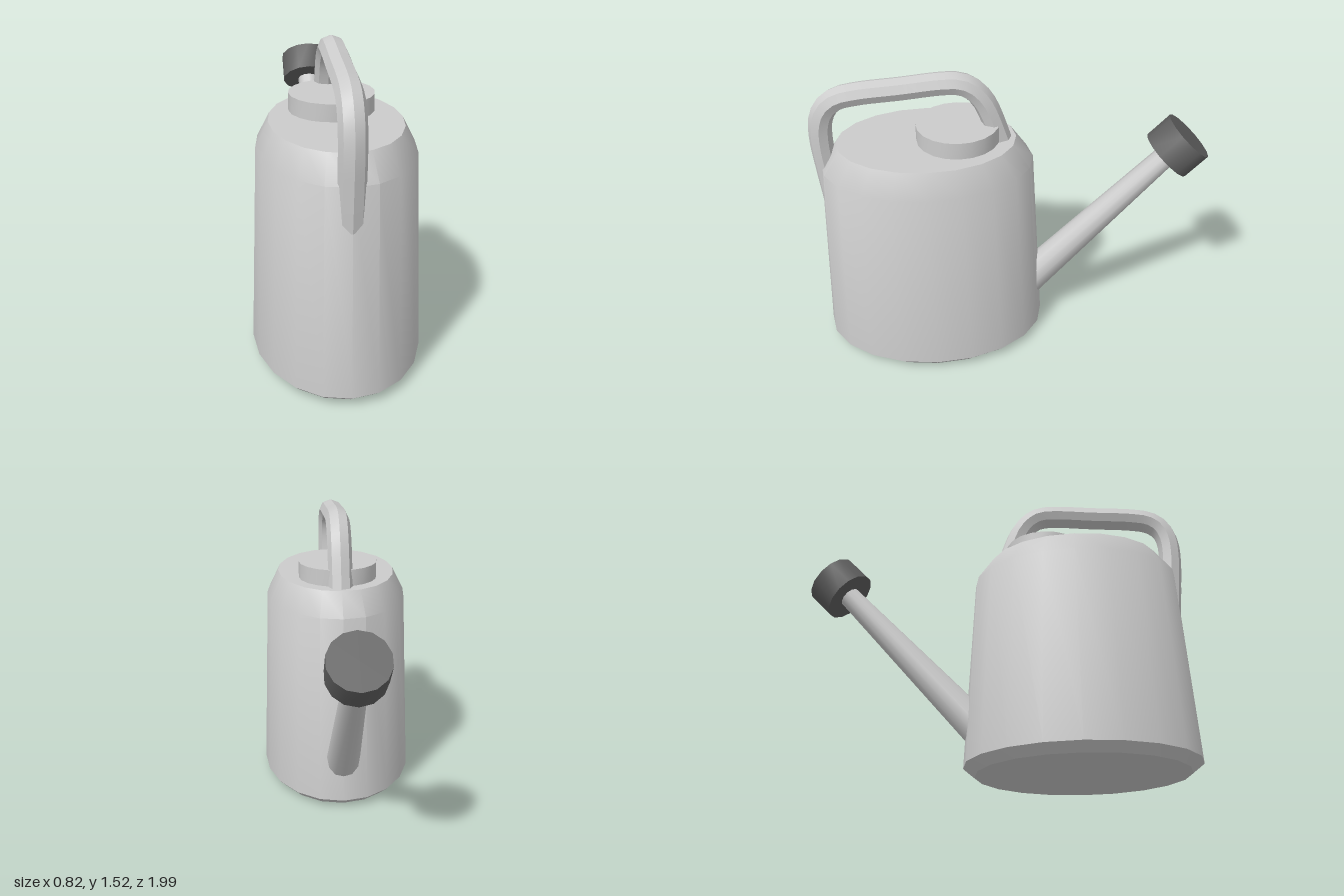
import * as THREE from 'three';
import { toCreasedNormals } from 'three/addons/utils/BufferGeometryUtils.js';

const grey = new THREE.MeshStandardMaterial({ color: 0xcccccc });
const dark = new THREE.MeshStandardMaterial({ color: 0x606060 });

function part(name, geometry, material = grey, crease = 0.65) {
  const mesh = new THREE.Mesh(toCreasedNormals(geometry, crease), material);
  mesh.name = name;
  return mesh;
}

// Cylinder running between two points
function rod(name, from, to, r0, r1, sides, material) {
  const axis = to.clone().sub(from);
  const mesh = part(name, new THREE.CylinderGeometry(r1, r0, axis.length(), sides), material);
  mesh.position.copy(from).add(to).multiplyScalar(0.5);
  mesh.quaternion.setFromUnitVectors(new THREE.Vector3(0, 1, 0), axis.normalize());
  return mesh;
}

export function createModel() {
  const group = new THREE.Group();

  // Oval tapered body with chamfered base and shoulder
  const profile = [[0, 0], [0.37, 0], [0.41, 0.045], [0.372, 1.04], [0.312, 1.16], [0, 1.16]]
    .map(([r, y]) => new THREE.Vector2(r, y));
  const bodyGeometry = new THREE.LatheGeometry(profile, 20);
  bodyGeometry.scale(1, 1, 1.41);
  const body = part('body', bodyGeometry);
  body.position.z = 0.42;
  group.add(body);

  // Round filler lid
  const lid = part('lid', new THREE.CylinderGeometry(0.205, 0.205, 0.105, 20));
  lid.position.set(0, 1.1925, 0.265);
  group.add(lid);

  // Octagonal handle arching from the front wall to the top
  const path = [[0.9, 0.84], [0.915, 1.0], [0.928, 1.18], [0.92, 1.28], [0.89, 1.35], [0.835, 1.396],
    [0.745, 1.418], [0.53, 1.438], [0.32, 1.458], [0.24, 1.452], [0.185, 1.42], [0.14, 1.365],
    [0.11, 1.3], [0.045, 1.1]].map(([z, y]) => new THREE.Vector3(0, y, z));
  const handleGeometry = new THREE.TubeGeometry(new THREE.CatmullRomCurve3(path), 36, 0.057, 8);
  handleGeometry.scale(1.09, 1, 1);
  group.add(part('handle', handleGeometry, grey, 0.6));

  // Tapered spout and its sprinkler rose
  const spoutStart = new THREE.Vector3(0, 0.21, -0.05);
  const roseBase = new THREE.Vector3(0, 1.011, -0.784);
  const roseFace = new THREE.Vector3(0, 1.12, -0.888);
  group.add(rod('spout', spoutStart, roseBase, 0.091, 0.056, 12, grey));
  group.add(rod('sprinklerRose', roseBase, roseFace, 0.143, 0.143, 14, dark));

  return group;
}
